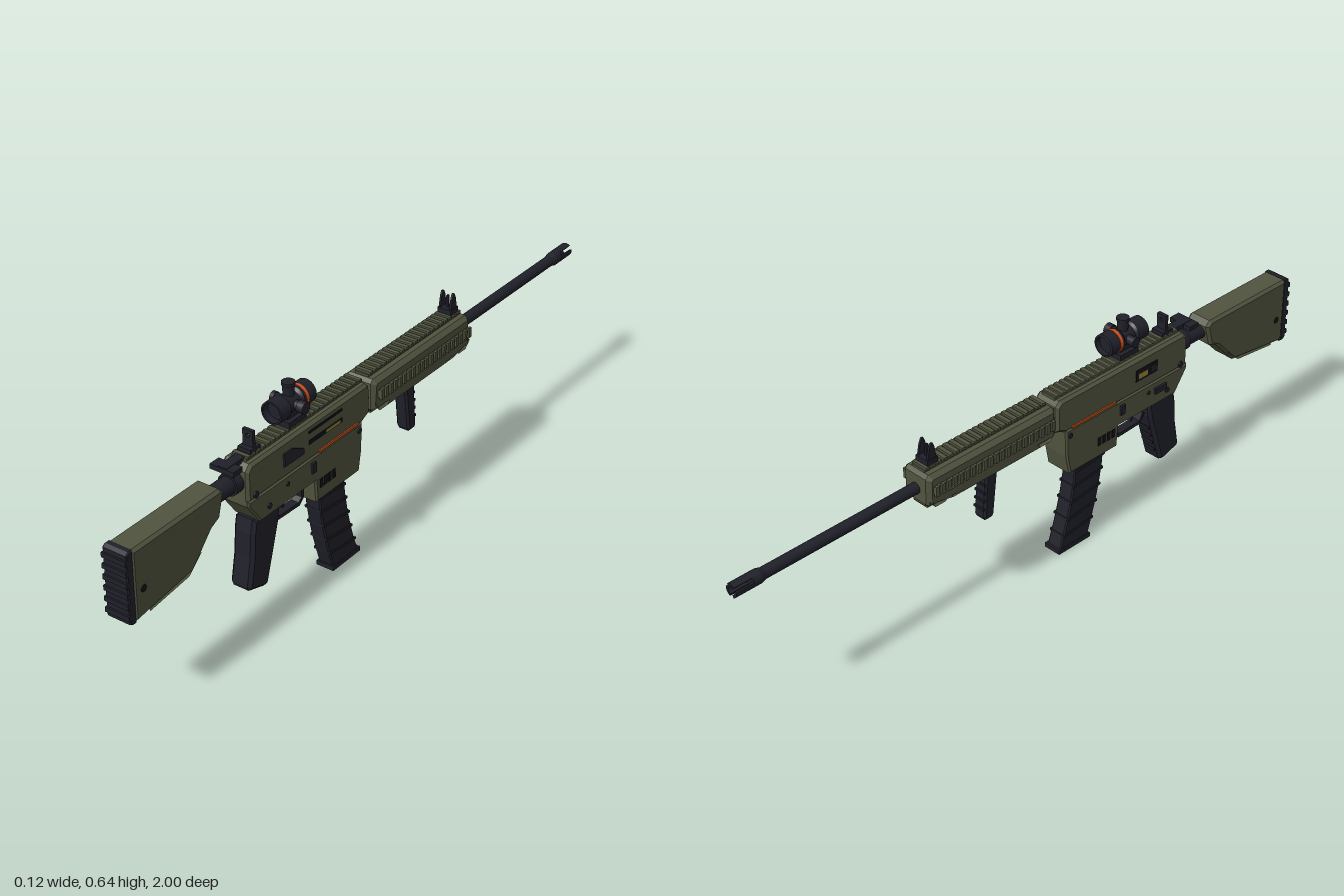
import * as THREE from 'three';

const mat = (name, color) => {
  const m = new THREE.MeshStandardMaterial({ color });
  m.name = name;
  return m;
};

export function createModel() {
  const green = mat('olive green', 0x50543f);
  const black = mat('blue black', 0x20202a);
  const dark = mat('slot black', 0x121218);
  const orange = mat('orange', 0xd4521a);
  const brass = mat('brass', 0x9a8430);
  const root = new THREE.Group();
  root.name = 'rifle';

  const add = (name, geo, material, x = 0, y = 0, z = 0, parent = root) => {
    const m = new THREE.Mesh(geo, material);
    m.name = name;
    m.position.set(x, y, z);
    parent.add(m);
    return m;
  };
  const box = (name, w, h, d, material, x, y, z) =>
    add(name, new THREE.BoxGeometry(w, h, d), material, x, y, z);
  // cylinder along z (r1 at the rear, r2 at the muzzle side)
  const rod = (name, r1, r2, z0, z1, y, material, sides = 24) =>
    add(name, new THREE.CylinderGeometry(r1, r2, z0 - z1, sides).rotateX(Math.PI / 2), material, 0, y, (z0 + z1) / 2);
  // cylinder along x
  const pin = (name, r, len, material, x, y, z) =>
    add(name, new THREE.CylinderGeometry(r, r, len, 16).rotateZ(Math.PI / 2), material, x, y, z);
  const toShape = pts => new THREE.Shape(pts.map(p => new THREE.Vector2(p[0], p[1])));
  // side profile of [z, y] points, extruded across x with chamfered edges
  const profile = (name, pts, half, material, bevel = 0.008, holes = []) => {
    const s = toShape(pts);
    s.holes = holes.map(toShape);
    const g = new THREE.ExtrudeGeometry(s, {
      depth: 2 * (half - bevel), bevelEnabled: bevel > 0, bevelThickness: bevel,
      bevelSize: bevel, bevelOffset: -bevel, bevelSegments: 1, curveSegments: 8,
    });
    g.translate(0, 0, bevel - half).rotateY(-Math.PI / 2);
    return add(name, g, material);
  };

  // Stock with its opening, butt pad and ribs
  profile('stock', [[0.978, 0.505], [0.655, 0.505], [0.64, 0.49], [0.658, 0.425], [0.69, 0.41],
    [0.765, 0.33], [0.978, 0.302]], 0.039, green, 0.008,
    [[[0.92, 0.365], [0.745, 0.365], [0.785, 0.333], [0.92, 0.317]]]);
  profile('buttPad', [[0.995, 0.5], [0.985, 0.506], [0.972, 0.506], [0.972, 0.3], [0.985, 0.3], [0.995, 0.306]],
    0.037, black, 0.003);
  for (let i = 0; i < 6; i++) box('buttRib', 0.074, 0.014, 0.02, black, 0, 0.325 + i * 0.031, 0.99);
  pin('stockScrew', 0.01, 0.081, dark, 0, 0.385, 0.945);
  rod('bufferTube', 0.025, 0.025, 0.65, 0.55, 0.465, black);
  rod('bufferNut', 0.031, 0.031, 0.582, 0.55, 0.465, black);

  // Receiver: upper, lower and magazine well
  profile('upperReceiver', [[0.556, 0.5], [0.54, 0.517], [0.06, 0.517], [0.046, 0.503], [0.046, 0.425],
    [0.08, 0.41], [0.556, 0.41]], 0.042, green);
  profile('lowerReceiver', [[0.556, 0.415], [0.08, 0.415], [0.083, 0.33], [0.095, 0.27], [0.28, 0.27],
    [0.285, 0.335], [0.51, 0.335], [0.556, 0.4]], 0.043, green, 0.005);
  box('receiverRail', 0.046, 0.008, 0.48, green, 0, 0.519, 0.295);
  for (let i = 0; i < 24; i++) box('receiverRailTooth', 0.05, 0.006, 0.011, green, 0, 0.525, 0.065 + i * 0.02);
  for (const [z, y, r] of [[0.527, 0.425, 0.009], [0.475, 0.365, 0.008], [0.095, 0.395, 0.008], [0.4, 0.39, 0.006]])
    pin('receiverPin', r, 0.092, black, 0, y, z);

  // Painted lines, vents and small controls on both sides
  for (const s of [-1, 1]) {
    box('orangeStripe', 0.004, 0.007, 0.17, orange, s * 0.0435, 0.42, 0.185);
    for (let i = 0; i < 4; i++)
      box('magwellVent', 0.004, 0.026, 0.012, dark, s * 0.043, 0.322, 0.208 + i * 0.018);
    box('magazineRelease', 0.012, 0.03, 0.016, black, s * 0.043, 0.385, 0.295);
  }
  // Right side: bolt cover and slot
  profile('boltCover', [[0.415, 0.485], [0.38, 0.485], [0.335, 0.462], [0.335, 0.447], [0.415, 0.447]],
    0.004, black, 0).position.x = 0.043;
  box('upperSlot', 0.004, 0.007, 0.14, dark, 0.042, 0.495, 0.24);
  box('lowerSlot', 0.004, 0.012, 0.14, dark, 0.042, 0.465, 0.24);
  box('chamberedRound', 0.005, 0.008, 0.06, brass, 0.0425, 0.465, 0.21);
  // Left side: ejection port and selector
  box('ejectionPort', 0.004, 0.036, 0.085, dark, -0.042, 0.465, 0.39);
  box('portRound', 0.005, 0.016, 0.036, brass, -0.0425, 0.462, 0.375);
  box('portBolt', 0.005, 0.02, 0.022, black, -0.0425, 0.465, 0.415);
  box('selector', 0.012, 0.018, 0.045, black, -0.044, 0.385, 0.445);

  // Charging handle and rear sight
  box('chargingHandle', 0.028, 0.013, 0.14, black, 0, 0.519, 0.53);
  box('chargingHandleGrip', 0.074, 0.014, 0.035, black, 0, 0.517, 0.585);
  box('rearSightBase', 0.04, 0.012, 0.04, black, 0, 0.531, 0.495);
  const leaf = toShape([[-0.016, 0.535], [0.016, 0.535], [0.016, 0.582], [-0.016, 0.582]]);
  leaf.holes.push(new THREE.Path().absarc(0, 0.566, 0.006, 0, Math.PI * 2, true));
  add('rearSightLeaf', new THREE.ExtrudeGeometry(leaf, { depth: 0.01, bevelEnabled: false }), black, 0, 0, 0.49);

  // Optic on the receiver rail
  const oy = 0.582;
  box('opticClamp', 0.056, 0.016, 0.07, black, 0, 0.538, 0.335);
  box('opticFoot', 0.03, 0.03, 0.05, black, 0, 0.553, 0.335);
  const tube = [[0, 0.385], [0.026, 0.385], [0.027, 0.405], [0.032, 0.405], [0.033, 0.365], [0.026, 0.358], [0.026, 0.318],
    [0.033, 0.31], [0.033, 0.262], [0.027, 0.26], [0.026, 0.275], [0, 0.275]];
  const seg = [];
  for (let i = 0; i + 1 < tube.length; i++) seg.push([tube[i], tube[i + 1]]);
  // each band is its own lathe so its edges stay crisp
  for (const pair of seg) {
    const pts = pair.map(p => new THREE.Vector2(p[0], -p[1])).reverse();
    const g = new THREE.LatheGeometry(pts.reverse(), 28).rotateX(-Math.PI / 2);
    add('opticTube', g, black, 0, oy, 0);
  }
  rod('opticBody', 0.0255, 0.0255, 0.384, 0.276, oy, black);
  rod('opticOrangeRing', 0.0345, 0.0345, 0.303, 0.294, oy, orange, 28);
  add('topTurret', new THREE.CylinderGeometry(0.015, 0.015, 0.04, 20), black, 0, 0.617, 0.335);
  add('topTurretCap', new THREE.CylinderGeometry(0.018, 0.018, 0.008, 20), black, 0, 0.637, 0.335);
  pin('sideTurrets', 0.013, 0.096, black, 0, oy, 0.335);
  pin('rightTurretCap', 0.017, 0.02, black, 0.045, oy, 0.335);
  pin('leftTurretCap', 0.015, 0.012, black, -0.044, oy, 0.335);

  // Handguard pierced by a row of slots, with rails on four sides
  const slots = [];
  for (let i = 0; i < 7; i++) {
    const z = -0.005 - i * 0.062;
    slots.push([[z + 0.02, 0.438], [z + 0.012, 0.446], [z - 0.012, 0.446], [z - 0.02, 0.438],
      [z - 0.012, 0.43], [z + 0.012, 0.43]]);
  }
  profile('handguard', [[0.038, 0.505], [0.028, 0.515], [-0.405, 0.515], [-0.415, 0.505], [-0.415, 0.428],
    [-0.405, 0.418], [0.028, 0.418], [0.038, 0.428]], 0.049, green, 0.012, slots);
  rod('barrelNut', 0.032, 0.032, 0.07, 0.02, 0.463, black);
  box('topRail', 0.044, 0.008, 0.43, green, 0, 0.517, -0.19);
  box('bottomRail', 0.044, 0.008, 0.43, green, 0, 0.416, -0.19);
  for (const s of [-1, 1]) box('sideRail', 0.01, 0.022, 0.42, green, s * 0.051, 0.472, -0.19);
  for (let i = 0; i < 21; i++) {
    const z = 0.015 - i * 0.0205;
    box('topRailTooth', 0.05, 0.008, 0.012, green, 0, 0.524, z);
    box('bottomRailTooth', 0.05, 0.008, 0.012, green, 0, 0.41, z);
    for (const s of [-1, 1]) box('sideRailTooth', 0.008, 0.03, 0.012, green, s * 0.058, 0.472, z);
  }

  // Front sight: base, post and two ears
  box('frontSightBase', 0.044, 0.016, 0.036, black, 0, 0.535, -0.375);
  box('frontSightPost', 0.006, 0.04, 0.008, black, 0, 0.558, -0.375);
  for (const s of [-1, 1])
    profile('frontSightEar', [[-0.36, 0.54], [-0.39, 0.54], [-0.383, 0.575], [-0.377, 0.588], [-0.371, 0.588], [-0.366, 0.575]],
      0.003, black, 0).position.x = s * 0.017;

  // Barrel and three-pronged muzzle
  rod('barrel', 0.016, 0.016, 0.03, -0.93, 0.463, black);
  rod('muzzleCollar', 0.016, 0.02, -0.905, -0.92, 0.463, black);
  rod('muzzleSleeve', 0.02, 0.02, -0.92, -0.945, 0.463, black);
  for (let i = 0; i < 3; i++) {
    const a = Math.PI / 2 + i * Math.PI * 2 / 3, h = 0.72;
    const arc = new THREE.Shape();
    arc.absarc(0, 0, 0.02, a - h, a + h, false);
    arc.absarc(0, 0, 0.012, a + h, a - h, true);
    add('muzzleProng', new THREE.ExtrudeGeometry(arc, { depth: 0.06, bevelEnabled: false, curveSegments: 8 }),
      black, 0, 0.463, -1);
  }

  // Pistol grip with back-strap ridges
  profile('pistolGrip', [[0.522, 0.34], [0.415, 0.34], [0.422, 0.29], [0.446, 0.21], [0.472, 0.125],
    [0.485, 0.12], [0.545, 0.138], [0.55, 0.15], [0.535, 0.23], [0.53, 0.3]], 0.033, black, 0.009);
  for (let i = 0; i < 4; i++)
    box('gripRidge', 0.04, 0.008, 0.012, black, 0, 0.16 + i * 0.028, 0.444 - i * 0.0 + 0.02 - i * 0.009);

  // Trigger guard and trigger
  profile('triggerGuard', [[0.42, 0.3], [0.405, 0.272], [0.315, 0.268], [0.296, 0.285], [0.296, 0.34], [0.306, 0.34],
    [0.306, 0.289], [0.319, 0.279], [0.4, 0.282], [0.412, 0.305]], 0.013, black, 0);
  profile('trigger', [[0.39, 0.34], [0.372, 0.34], [0.378, 0.315], [0.368, 0.292], [0.376, 0.29], [0.388, 0.315]],
    0.006, black, 0);

  // Curved magazine with raised ribs and floor plate
  const front = y => 0.075 + 0.062 * (1 - Math.pow(1 - y / 0.28, 1.6));
  const rear = y => front(y) + 0.11;
  const rows = [0.008, 0.06, 0.11, 0.16, 0.22, 0.285];
  profile('magazine', [...rows.map(y => [front(Math.min(y, 0.28)), y]),
    ...rows.slice().reverse().map(y => [rear(Math.min(y, 0.28)), y])], 0.025, black, 0.004);
  for (const y of [0.055, 0.105, 0.155, 0.205, 0.25])
    profile('magazineRib', [[front(y) - 0.002, y - 0.008], [rear(y) + 0.002, y + 0.004], [rear(y) + 0.002, y + 0.011],
      [front(y) - 0.002, y - 0.001]], 0.0275, black, 0);
  box('magazineFloor', 0.056, 0.013, 0.122, black, 0, 0.0065, 0.133);

  // Vertical foregrip
  box('foregripMount', 0.044, 0.018, 0.06, black, 0, 0.404, -0.168);
  profile('foregrip', [[-0.147, 0.41], [-0.19, 0.41], [-0.2, 0.265], [-0.194, 0.253], [-0.17, 0.253], [-0.163, 0.265]],
    0.021, black, 0.006);
  for (let i = 0; i < 4; i++) box('foregripRib', 0.036, 0.007, 0.01, black, 0, 0.29 + i * 0.025, -0.197 + i * 0.002);

  return root;
}
